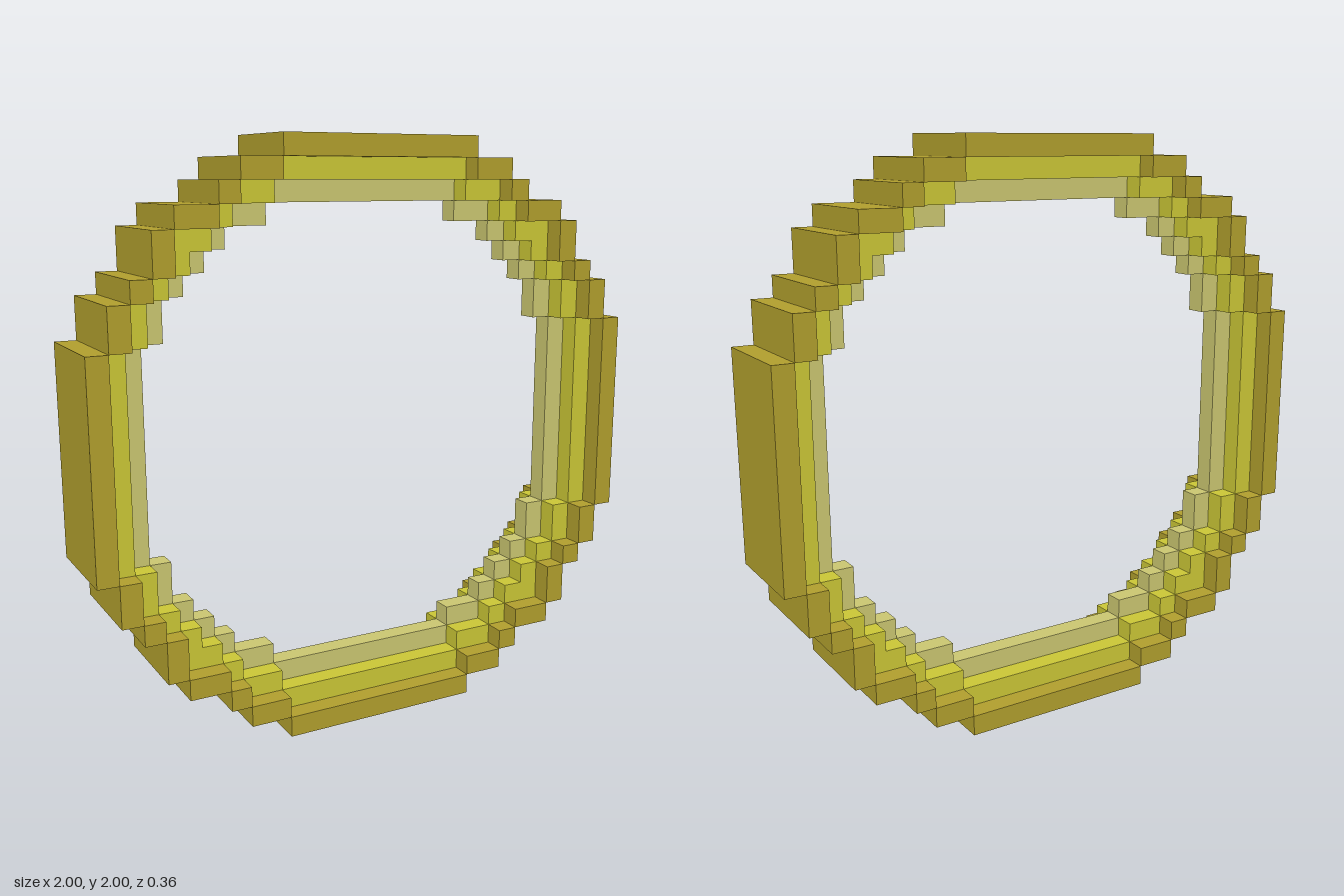
import * as THREE from 'three';

const U = 1 / 14; // one block

// Each layer: depth in blocks, and one quadrant's steps as [x0, x1, y0, y1]
// measured from the ring's centre; the other quadrants are mirrored.
const LAYERS = [
  { name: 'outerBand', color: 0xb09e2d, depth: 5,
    bar: [13, 14], steps: [[5, 7, 12, 13], [7, 8, 11, 12], [8, 10, 10, 11], [10, 11, 8, 10], [11, 12, 7, 8], [12, 13, 5, 7]] },
  { name: 'middleBand', color: 0xcac636, depth: 3,
    bar: [12, 13], steps: [[5, 7, 11, 12], [7, 8, 10, 11], [8, 10, 9, 10], [9, 10, 8, 9], [10, 11, 7, 8], [11, 12, 5, 7]] },
  { name: 'innerBand', color: 0xcac670, depth: 1,
    bar: [11, 12], steps: [[5, 7, 10, 11], [7, 8, 9, 10], [8, 9, 8, 9], [9, 10, 7, 8], [10, 11, 5, 7]] },
];
const MATERIAL_NAMES = { outerBand: 'darkGold', middleBand: 'yellow', innerBand: 'paleYellow' };

function addBlock(parent, name, material, [x0, x1, y0, y1], depth) {
  const mesh = new THREE.Mesh(
    new THREE.BoxGeometry((x1 - x0) * U, (y1 - y0) * U, depth * U), material);
  mesh.position.set((x0 + x1) / 2 * U, 1 + (y0 + y1) / 2 * U, 0);
  mesh.name = name;
  parent.add(mesh);
}

export function createModel() {
  const ring = new THREE.Group();
  ring.name = 'steppedRing';

  for (const { name, color, depth, bar, steps } of LAYERS) {
    const material = new THREE.MeshStandardMaterial({ color });
    material.name = MATERIAL_NAMES[name];
    const band = new THREE.Group();
    band.name = name;
    ring.add(band);

    // Long straight bars on the four sides
    const [a, b] = bar;
    addBlock(band, 'topBar', material, [-5, 5, a, b], depth);
    addBlock(band, 'bottomBar', material, [-5, 5, -b, -a], depth);
    addBlock(band, 'leftBar', material, [a, b, -5, 5], depth);
    addBlock(band, 'rightBar', material, [-b, -a, -5, 5], depth);

    // Stair steps rounding the four corners
    for (const sx of [1, -1]) for (const sy of [1, -1]) {
      for (const [x0, x1, y0, y1] of steps) {
        const xs = sx > 0 ? [x0, x1] : [-x1, -x0];
        const ys = sy > 0 ? [y0, y1] : [-y1, -y0];
        addBlock(band, 'cornerStep', material, [...xs, ...ys], depth);
      }
    }
  }
  return ring;
}
